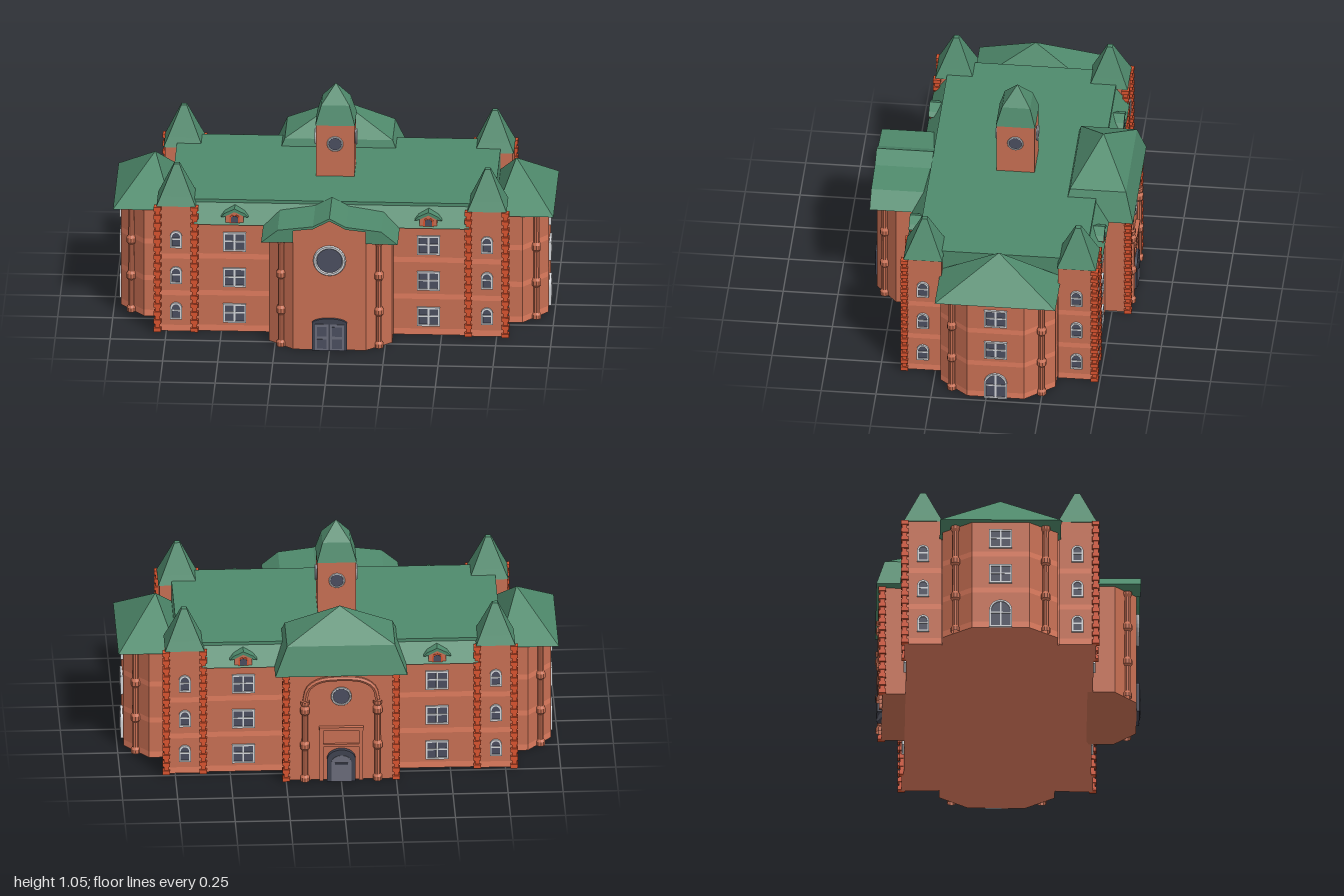
import * as THREE from 'three';

const mat = (color) => new THREE.MeshStandardMaterial({ color, flatShading: true, side: THREE.DoubleSide });
const BRICK = mat(0xc86f53), BAND = mat(0xe07c5e), QUOIN = mat(0xd9532f), ROOF = mat(0x4f8a6c);
const GLASS = mat(0x4b4e60), FRAME = mat(0xd4d6da), DOOR = mat(0x3f4250), PANEL = mat(0x6a6c7a);

function mesh(parent, name, geo, material, x = 0, y = 0, z = 0) {
  const m = new THREE.Mesh(geo, material);
  m.name = name;
  m.position.set(x, y, z);
  parent.add(m);
  return m;
}
const box = (parent, name, material, w, h, d, x, y, z) =>
  mesh(parent, name, new THREE.BoxGeometry(w, h, d), material, x, y, z);
const poly = (pts) => new THREE.Shape(pts.map((p) => new THREE.Vector2(p[0], p[1])));
const extrude = (shape, depth) =>
  new THREE.ExtrudeGeometry(shape, { depth, bevelEnabled: false, curveSegments: 10 });
const rect = (x0, x1, z0, z1) => [[x0, z0], [x1, z0], [x1, z1], [x0, z1]];

// Floor plan given as [x, z] points, raised from y0 to y1
function prism(parent, name, plan, y0, y1, material) {
  const geo = extrude(poly(plan.map(([x, z]) => [x, -z])), y1 - y0).rotateX(-Math.PI / 2);
  return mesh(parent, name, geo, material, 0, y0, 0);
}

// Brick wall with lighter courses
function bandedWall(parent, name, plan, top) {
  const g = new THREE.Group();
  g.name = name;
  const y = [0, 0.03, 0.175, 0.2, 0.355, 0.38, top];
  for (let i = 0; i < 6; i++)
    prism(g, i % 2 ? 'brickwork' : 'lightCourse', plan, y[i], y[i + 1], i % 2 ? BRICK : BAND);
  parent.add(g);
}

// Stacked rectangular tiers, each [y, x0, x1, z0, z1]
function tieredRoof(parent, name, tiers) {
  const g = new THREE.Group();
  g.name = name;
  for (let t = 0; t < tiers.length - 1; t++) {
    const geo = new THREE.BoxGeometry(1, 1, 1), p = geo.attributes.position;
    for (let i = 0; i < p.count; i++) {
      const [y, x0, x1, z0, z1] = tiers[p.getY(i) > 0 ? t + 1 : t];
      p.setXYZ(i, p.getX(i) > 0 ? x1 : x0, y, p.getZ(i) > 0 ? z1 : z0);
    }
    geo.computeVertexNormals();
    mesh(g, 'roofTier', geo, ROOF);
  }
  parent.add(g);
}

// Opening outline, standing on y = 0, with an optional round head of the given rise
function opening(w, h, rise, cls = THREE.Shape) {
  const s = new cls();
  s.moveTo(-w / 2, 0);
  s.lineTo(w / 2, 0);
  s.lineTo(w / 2, h - rise);
  if (rise) s.absellipse(0, h - rise, w / 2, rise, 0, Math.PI, false);
  else s.lineTo(-w / 2, h);
  s.closePath();
  return s;
}

function place(parent, name, x, y, z, turn) {
  const g = new THREE.Group();
  g.name = name;
  g.position.set(x, y, z);
  g.rotation.y = turn;
  parent.add(g);
  return g;
}

function windowAt(parent, w, h, rise, upright, x, y, z, turn) {
  const g = place(parent, 'window', x, y, z, turn), b = 0.008;
  const s = opening(w, h, rise);
  const hole = opening(w - 2 * b, h - 2 * b, rise ? rise - b / 2 : 0, THREE.Path);
  s.holes.push(new THREE.Path(hole.getPoints(10).map((p) => p.add(new THREE.Vector2(0, b)))));
  mesh(g, 'windowFrame', extrude(s, 0.01), FRAME);
  mesh(g, 'glass', extrude(opening(w - b, h - b, rise ? rise - b / 2 : 0), 0.004), GLASS, 0, b / 2, 0);
  box(g, 'crossBar', FRAME, w - b, 0.007, 0.008, 0, h * 0.53, 0.004);
  if (upright) box(g, 'uprightBar', FRAME, 0.008, h - b, 0.008, 0, h / 2, 0.004);
}

function roundWindow(parent, r, x, y, z, turn) {
  const g = place(parent, 'roundWindow', x, y, z, turn);
  mesh(g, 'glass', new THREE.CylinderGeometry(r, r, 0.012, 24).rotateX(Math.PI / 2), GLASS);
  mesh(g, 'ring', new THREE.TorusGeometry(r, r * 0.13, 6, 24), FRAME, 0, 0, 0.005);
}

// Slender column with a collar at each storey
function column(parent, x, z, top = 0.525) {
  const prof = [[0.021, 0], [0.021, 0.02], [0.014, 0.03]];
  for (const y of [0.175, 0.35])
    prof.push([0.014, y - 0.02], [0.022, y - 0.01], [0.022, y + 0.012], [0.015, y + 0.024]);
  prof.push([0.014, top - 0.025], [0.021, top - 0.014], [0.021, top]);
  mesh(parent, 'column', new THREE.LatheGeometry(prof.map((p) => new THREE.Vector2(...p)), 10), BRICK, x, 0, z);
}

function quoins(parent, x, z, top) {
  const n = Math.round(top / 0.02), h = top / n;
  for (let i = 0; i < n; i++) {
    const w = i % 2 ? 0.022 : 0.034;
    box(parent, 'cornerStone', QUOIN, w, h * 0.96, w, x, (i + 0.5) * h, z);
  }
}

function dormer(parent, x, z, turn) {
  const g = place(parent, 'dormer', x, 0.535, z, turn);
  mesh(g, 'dormerWall', extrude(poly([[-0.04, 0], [0.04, 0], [0.04, 0.035], [0, 0.06], [-0.04, 0.035]]), 0.075), BRICK, 0, 0, -0.08);
  const roof = poly([[-0.062, 0.032], [-0.045, 0.035], [0, 0.058], [0.045, 0.035], [0.062, 0.032], [0.045, 0.051], [0, 0.073], [-0.045, 0.051]]);
  mesh(g, 'dormerRoof', extrude(roof, 0.08), ROOF, 0, 0, -0.08);
  mesh(g, 'dormerFrame', extrude(opening(0.046, 0.04, 0.015), 0.003), QUOIN, 0, 0.003, -0.005);
  mesh(g, 'dormerGlass', extrude(opening(0.032, 0.032, 0.012), 0.005), GLASS, 0, 0.006, -0.005);
}

export function createModel() {
  const root = new THREE.Group();
  root.name = 'townHall';
  const b = place(root, 'building', 0, 0, -0.0425, 0);
  const floors = [0.045, 0.22, 0.395];

  // Main block and roof
  bandedWall(b, 'mainWalls', rect(-0.78, 0.78, -0.425, 0.425), 0.53);
  tieredRoof(b, 'mainRoof', [[0.53, -0.625, 0.625, -0.4475, 0.4475], [0.615, -0.625, 0.625, -0.385, 0.385]]);
  box(b, 'roofDeck', ROOF, 1.47, 0.1, 0.77, 0, 0.58, 0);

  for (const sx of [-1, 1]) {
    for (const sz of [-1, 1]) {
      const turn = sz > 0 ? 0 : Math.PI, tx = 0.706 * sx, tz = 0.35 * sz;
      // Corner tower
      bandedWall(b, 'cornerTower', rect(tx - 0.084, tx + 0.084, tz - 0.084, tz + 0.084), 0.615);
      const tier = (y, r) => [y, tx - r, tx + r, tz - r, tz + r];
      tieredRoof(b, 'cornerTowerRoof', [tier(0.612, 0.089), tier(0.655, 0.07), tier(0.79, 0.012)]);
      quoins(b, sx * 0.79, sz * 0.434, 0.612);
      quoins(b, sx * 0.622, sz * 0.43, 0.612);
      for (const y of floors) {
        windowAt(b, 0.054, 0.082, 0.027, false, tx, y + 0.015, sz * 0.434, turn);
        windowAt(b, 0.054, 0.082, 0.027, false, sx * 0.79, y + 0.015, tz, sx * Math.PI / 2);
        windowAt(b, 0.104, 0.092, 0, true, 0.44 * sx, y, sz * 0.425, turn);
      }
      dormer(b, 0.44 * sx, sz * 0.445, turn);
      column(b, 0.92 * sx, 0.205 * sz);
    }

    // Side wing with canted corners
    bandedWall(b, 'sideWing', [[0.7, -0.262], [0.86, -0.262], [0.97, -0.13], [0.97, 0.13], [0.86, 0.262], [0.7, 0.262]].map(([x, z]) => [x * sx, z]), 0.53);
    tieredRoof(b, 'sideWingRoof', [[0.525, ...(sx > 0 ? [0.73, 1] : [-1, -0.73]), -0.275, 0.275],
      [0.7, sx * 0.82 - 0.001, sx * 0.82 + 0.001, -0.001, 0.001]]);
    for (const y of [0.22, 0.395]) windowAt(b, 0.104, 0.092, 0, true, sx * 0.97, y, 0, sx * Math.PI / 2);
    windowAt(b, 0.104, 0.135, 0.052, true, sx * 0.97, 0, 0, sx * Math.PI / 2);

    // Columns and corner stones of the centre pavilions
    column(b, 0.222 * sx, 0.582);
    column(b, 0.165 * sx, -0.537, 0.4);
    quoins(b, 0.25 * sx, -0.53, 0.53);
  }

  // Front pavilion
  prism(b, 'frontPavilion', [[-0.28, 0.4], [-0.28, 0.525], [-0.165, 0.6245], [0.165, 0.6245], [0.28, 0.525], [0.28, 0.4]], 0, 0.53, BRICK);
  const gable = [[-0.165, 0.5], [0.165, 0.5], [0.165, 0.588], [0.075, 0.598], [0, 0.638], [-0.075, 0.598], [-0.165, 0.588]];
  mesh(b, 'frontGable', extrude(poly(gable), 0.2), BRICK, 0, 0, 0.4245);
  const half = [[0.165, 0.588], [0.165, 0.53], [0.31, 0.528], [0.235, 0.59], [0.075, 0.61]];
  const roofLine = [[0, 0.638], [0.075, 0.598], ...half, [0, 0.65],
    ...half.slice().reverse().map(([x, y]) => [-x, y]), [-0.075, 0.598]];
  mesh(b, 'frontPavilionRoof', extrude(poly(roofLine), 0.26), ROOF, 0, 0, 0.3825);
  roundWindow(b, 0.066, 0, 0.44, 0.626, 0);

  // Front double door
  const door = place(b, 'frontDoor', 0, 0, 0.62, 0);
  mesh(door, 'doorFrame', extrude(opening(0.16, 0.157, 0.025), 0.018), DOOR);
  for (const s of [-1, 1]) {
    box(door, 'doorLeaf', PANEL, 0.062, 0.125, 0.004, s * 0.035, 0.068, 0.019);
    for (const y of [0.035, 0.095]) box(door, 'doorPanel', GLASS, 0.044, 0.046, 0.004, s * 0.035, y, 0.0205);
  }

  // Back pavilion with hipped two-slope roof
  prism(b, 'backPavilion', rect(-0.25, 0.25, -0.53, -0.35), 0, 0.535, BRICK);
  tieredRoof(b, 'backPavilionRoof', [[0.53, -0.3, 0.3, -0.5575, -0.23], [0.665, -0.245, 0.245, -0.52, -0.265],
    [0.805, -0.002, 0.002, -0.3945, -0.3905]]);
  const back = place(b, 'backEntrance', 0, 0, -0.53, Math.PI);
  const arch = new THREE.CatmullRomCurve3([[-0.165, 0.4], [-0.15, 0.46], [-0.1, 0.497], [0, 0.508], [0.1, 0.497], [0.15, 0.46], [0.165, 0.4]]
    .map(([x, y]) => new THREE.Vector3(x, y, 0.005)));
  mesh(back, 'archMoulding', new THREE.TubeGeometry(arch, 20, 0.012, 6), BRICK);
  roundWindow(back, 0.042, 0, 0.42, 0.003, 0);
  mesh(back, 'backDoorFrame', extrude(opening(0.13, 0.157, 0.05), 0.022), DOOR);
  mesh(back, 'backDoorPanel', extrude(opening(0.09, 0.13, 0.035), 0.025), PANEL);
  box(back, 'doorHandleRail', DOOR, 0.06, 0.01, 0.01, 0, 0.09, 0.023);
  box(back, 'doorCornice', BRICK, 0.2, 0.016, 0.024, 0, 0.26, 0.008);
  for (const s of [-1, 1]) box(back, 'doorPilaster', BRICK, 0.018, 0.255, 0.016, s * 0.09, 0.128, 0.006);
  box(back, 'doorLintel', BRICK, 0.17, 0.012, 0.014, 0, 0.175, 0.006);

  // Clock tower
  box(b, 'clockTower', BRICK, 0.174, 0.32, 0.174, 0, 0.72, 0);
  const sq = (y, r) => [y, -r, r, -r, r];
  tieredRoof(b, 'clockTowerRoof', [sq(0.878, 0.09), sq(0.967, 0.064), sq(1.052, 0.001)]);
  for (let i = 0; i < 4; i++) {
    const a = i * Math.PI / 2;
    roundWindow(b, 0.033, Math.sin(a) * 0.088, 0.79, Math.cos(a) * 0.088, a);
  }
  return root;
}
